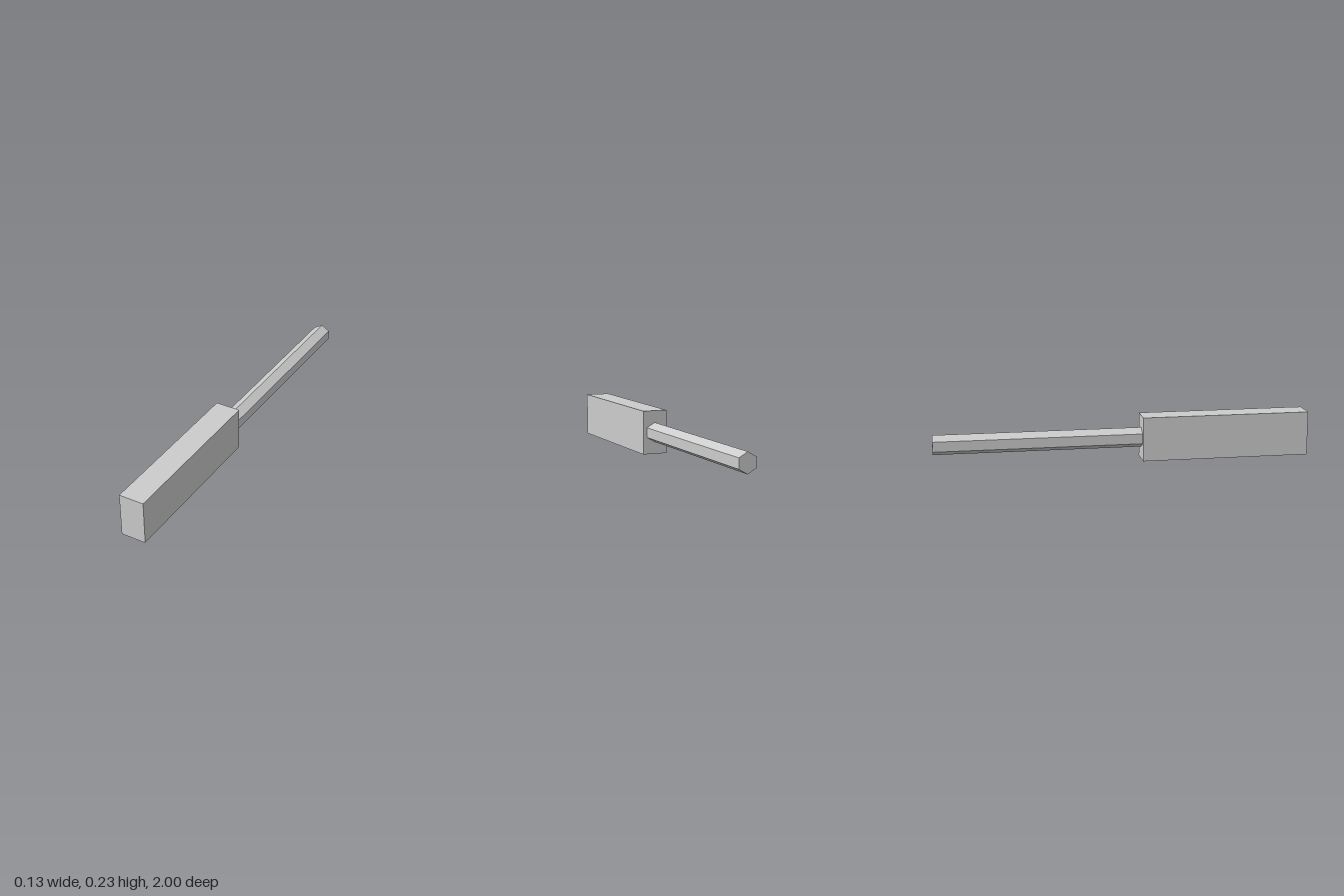
import * as THREE from 'three';

export function createModel() {
  const model = new THREE.Group();
  const lightGrey = new THREE.MeshStandardMaterial({ color: 0xcccccc, flatShading: true });
  lightGrey.name = 'lightGrey';

  const frontZ = 1, jointZ = 0.1, backZ = -1;
  const height = 0.235;

  const add = (name, geometry, z0, z1) => {
    const mesh = new THREE.Mesh(geometry, lightGrey);
    mesh.name = name;
    mesh.position.set(0, height / 2, (z0 + z1) / 2);
    model.add(mesh);
  };

  // Rectangular block at the front
  add('block', new THREE.BoxGeometry(0.134, height, frontZ - jointZ), jointZ, frontZ);

  // Six-sided rod behind it, with an edge pointing straight up
  const rod = new THREE.CylinderGeometry(0.053, 0.053, jointZ - backZ, 6).rotateX(Math.PI / 2);
  add('rod', rod, backZ, jointZ);

  return model;
}
